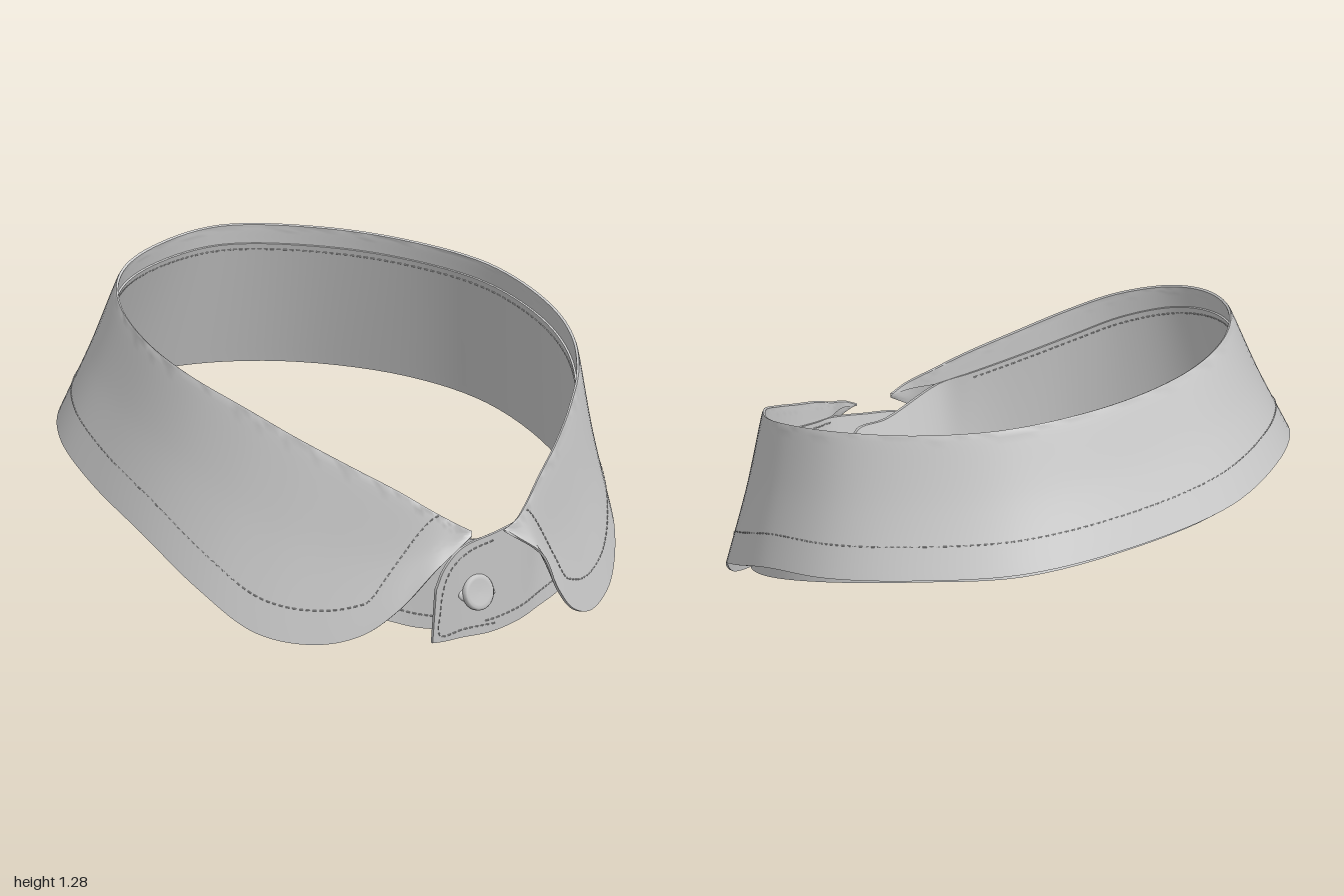
import * as THREE from 'three';
import { mergeGeometries, toCreasedNormals } from 'three/addons/utils/BufferGeometryUtils.js';

const V = (p) => new THREE.Vector3(...p);
const mat = () => new THREE.MeshStandardMaterial({ color: 0xcccccc, side: THREE.DoubleSide });

// Half collars from the centre back to the front: fold line, leaf edge, band edge
const foldLeft = [[0, 1.285, -.72], [.35, 1.26, -.635], [.6, 1.215, -.455], [.78, 1.145, -.2], [.835, 1.045, .06],
  [.81, .955, .25], [.71, .855, .43], [.59, .755, .55], [.45, .65, .66], [.3, .55, .76], [.2, .475, .825],
  [.12, .425, .87], [.07, .395, .87]];
const foldRight = [foldLeft[0], [.35, 1.25, -.64], [.61, 1.2, -.47], [.79, 1.125, -.22], [.855, 1.03, .04],
  [.825, .94, .25], [.72, .84, .43], [.6, .745, .55], [.45, .645, .655], [.3, .55, .75], [.2, .48, .81],
  [.12, .43, .85], [.06, .4, .855]];
const leafLeft = [[0, .8, -.9], [.42, .785, -.83], [.75, .74, -.6], [.93, .67, -.35], [.995, .57, -.06],
  [.975, .44, .17], [.89, .29, .39], [.76, .12, .55], [.6, .045, .66], [.46, .07, .74], [.34, .16, .815],
  [.22, .3, .89], [.085, .385, .885]];
const leafRight = [leafLeft[0], [.43, .78, -.83], [.77, .73, -.6], [.95, .65, -.35], [.995, .53, -.1],
  [.97, .39, .15], [.88, .21, .36], [.74, .06, .51], [.57, .018, .63], [.43, .05, .72], [.32, .14, .79],
  [.2, .28, .85], [.065, .385, .865]];
const bandLeft = [[0, .78, -.88], [.41, .76, -.81], [.71, .71, -.58], [.88, .63, -.34], [.94, .5, -.05],
  [.89, .37, .2], [.77, .26, .4], [.62, .19, .55], [.45, .13, .67], [.3, .09, .74], [.2, .06, .775]];
const bandRight = [...bandLeft.slice(0, 8), [.45, .13, .65], [.31, .09, .705], [.2, .06, .73]];

// Run from the right front, round the back, to the left front
const around = (left, right) => [...right.slice(1).reverse().map(([x, y, z]) => V([-x, y, z])), ...left.map(V)];

const inward = (p) => new THREE.Vector3(-p.x, 0, -p.z).normalize();

// Sheet of cloth with thickness, swept through cross-section curves column(u)
function cloth(name, column, nu, nv, thickness) {
  const grid = [];
  for (let i = 0; i <= nu; i++) grid.push(column(i / nu).getPoints(nv));
  const pos = [], index = [], n = 2 * (nv + 1);
  for (let i = 0; i <= nu; i++) {
    const outer = [], inner = [];
    for (let j = 0; j <= nv; j++) {
      const du = grid[Math.min(i + 1, nu)][j].clone().sub(grid[Math.max(i - 1, 0)][j]);
      const dv = grid[i][Math.min(j + 1, nv)].clone().sub(grid[i][Math.max(j - 1, 0)]);
      const normal = du.cross(dv).normalize();
      outer.push(grid[i][j].clone().addScaledVector(normal, thickness / 2));
      inner.unshift(grid[i][j].clone().addScaledVector(normal, -thickness / 2));
    }
    for (const p of [...outer, ...inner]) pos.push(p.x, p.y, p.z);
  }
  for (let i = 0; i < nu; i++) for (let j = 0; j < n; j++) {
    const a = i * n + j, c = i * n + (j + 1) % n;
    index.push(a, a + n, c, a + n, c + n, c);
  }
  // Close both front ends
  for (let j = 0; j < nv; j++) {
    const e = nu * n, k = n - 1 - j;
    index.push(j, j + 1, k, j + 1, k - 1, k);
    index.push(e + j, e + k, e + j + 1, e + j + 1, e + k, e + k - 1);
  }
  const geo = new THREE.BufferGeometry();
  geo.setAttribute('position', new THREE.Float32BufferAttribute(pos, 3));
  geo.setIndex(index);
  const mesh = new THREE.Mesh(toCreasedNormals(geo, 1), mat());
  mesh.name = name;
  return mesh;
}

// Dashed thread along a path
function stitches(name, points) {
  const path = new THREE.CatmullRomCurve3(points);
  const count = Math.round(path.getLength() / .024);
  const dashes = [];
  for (let i = 0; i < count; i++) {
    const line = new THREE.LineCurve3(path.getPointAt(i / count), path.getPointAt((i + .6) / count));
    dashes.push(new THREE.TubeGeometry(line, 1, .0025, 4));
  }
  const mesh = new THREE.Mesh(mergeGeometries(dashes), mat());
  mesh.name = name;
  return mesh;
}

const sample = (from, to, n, fn) => Array.from({ length: n + 1 }, (_, i) => fn(from + (to - from) * i / n));

export function createModel() {
  const collar = new THREE.Group();
  collar.name = 'shirtCollar';

  // Turned-down leaf: short inner lip, rolled fold, flared outer fall
  const foldCurve = new THREE.CatmullRomCurve3(around(foldLeft, foldRight));
  const edgeCurve = new THREE.CatmullRomCurve3(around(leafLeft, leafRight));
  const leafColumn = (u) => {
    const f = foldCurve.getPoint(u), b = edgeCurve.getPoint(u);
    const s = Math.min(1, f.distanceTo(b) / .4);
    const lip = f.clone().lerp(b, .15).addScaledVector(inward(f), .016 * s);
    return new THREE.CatmullRomCurve3([lip, f, f.clone().lerp(b, .5).addScaledVector(inward(f), .006 * s), b]);
  };
  collar.add(cloth('collarLeaf', leafColumn, 168, 27, .008));

  // Stand band: right end tucks under, left end overlaps as the button tab
  const bandTop = (fold, leaf) => fold.slice(0, 11).map((f, i) => {
    const p = V(f).lerp(V(leaf[i]), .14);
    return p.addScaledVector(inward(p), .02).toArray();
  });
  const topCurve = new THREE.CatmullRomCurve3([
    ...[[.17, .3, .755], [.13, .37, .768], [0, .36, .787]].map(V),
    ...around(bandTop(foldLeft, leafLeft), bandTop(foldRight, leafRight)),
    ...[[.07, .385, .822], [-.08, .34, .822], [-.15, .27, .815], [-.18, .2, .808]].map(V)]);
  const bottomCurve = new THREE.CatmullRomCurve3([
    ...[[.17, .08, .705], [.12, .05, .712], [0, .04, .725]].map(V),
    ...around(bandLeft, bandRight),
    ...[[.07, .03, .79], [-.06, .02, .79], [-.13, .012, .788], [-.18, .01, .786]].map(V)]);
  const bandColumn = (u) => new THREE.LineCurve3(topCurve.getPoint(u), bottomCurve.getPoint(u));
  collar.add(cloth('collarStand', bandColumn, 162, 10, .012));

  // Stitching parallel to the leaf edge, turning up to the fold at both fronts
  collar.add(stitches('leafStitching', sample(.072, .928, 120, (u) => {
    const fall = foldCurve.getPoint(u).distanceTo(edgeCurve.getPoint(u));
    const v = Math.min(1 - .12 / fall, (.932 - Math.max(u, 1 - u)) * 13.3);
    const p = leafColumn(u).getPoint((1 + 2 * v) / 3);
    const out = inward(p).multiplyScalar(-1).setY(.3).normalize();
    return p.addScaledVector(out, .005);
  })));

  // Stitching inside the band top, and outside its lower edge at each front
  const bandThread = (v, lift) => (u) => {
    const p = bandColumn(u).getPoint(v);
    return p.addScaledVector(inward(p), lift);
  };
  collar.add(stitches('innerStandStitching', sample(.15, .85, 90, bandThread(.05, .007))));
  collar.add(stitches('rightStandStitching', sample(.1, .22, 16, bandThread(.87, -.008))));
  collar.add(stitches('leftStandStitching', sample(.78, .9, 16, bandThread(.87, -.008))));
  const tabLine = [[.08, .06], [-.05, .05], [-.155, .035], [-.158, .12], [-.15, .2], [-.12, .27], [-.05, .325], [.06, .36]];
  collar.add(stitches('tabStitching', tabLine.map(([x, y]) => new THREE.Vector3(x, y, .796 + .1 * y))));

  // Button with a raised rim, over its buttonhole
  const button = new THREE.Mesh(new THREE.LatheGeometry([[0, -.012], [.055, -.012], [.064, -.004], [.064, .008],
    [.057, .015], [.045, .012], [0, .011]].map((p) => new THREE.Vector2(...p)), 32), mat());
  button.name = 'button';
  button.rotation.x = Math.PI / 2 - .1;
  button.position.set(-.005, .178, .818);
  const hole = new THREE.Mesh(new THREE.TorusGeometry(.03, .006, 8, 32), mat());
  hole.name = 'buttonhole';
  hole.scale.set(2.2, .9, 1);
  hole.rotation.x = -.1;
  hole.position.set(-.005, .172, .811);
  collar.add(button, hole);

  return collar;
}
